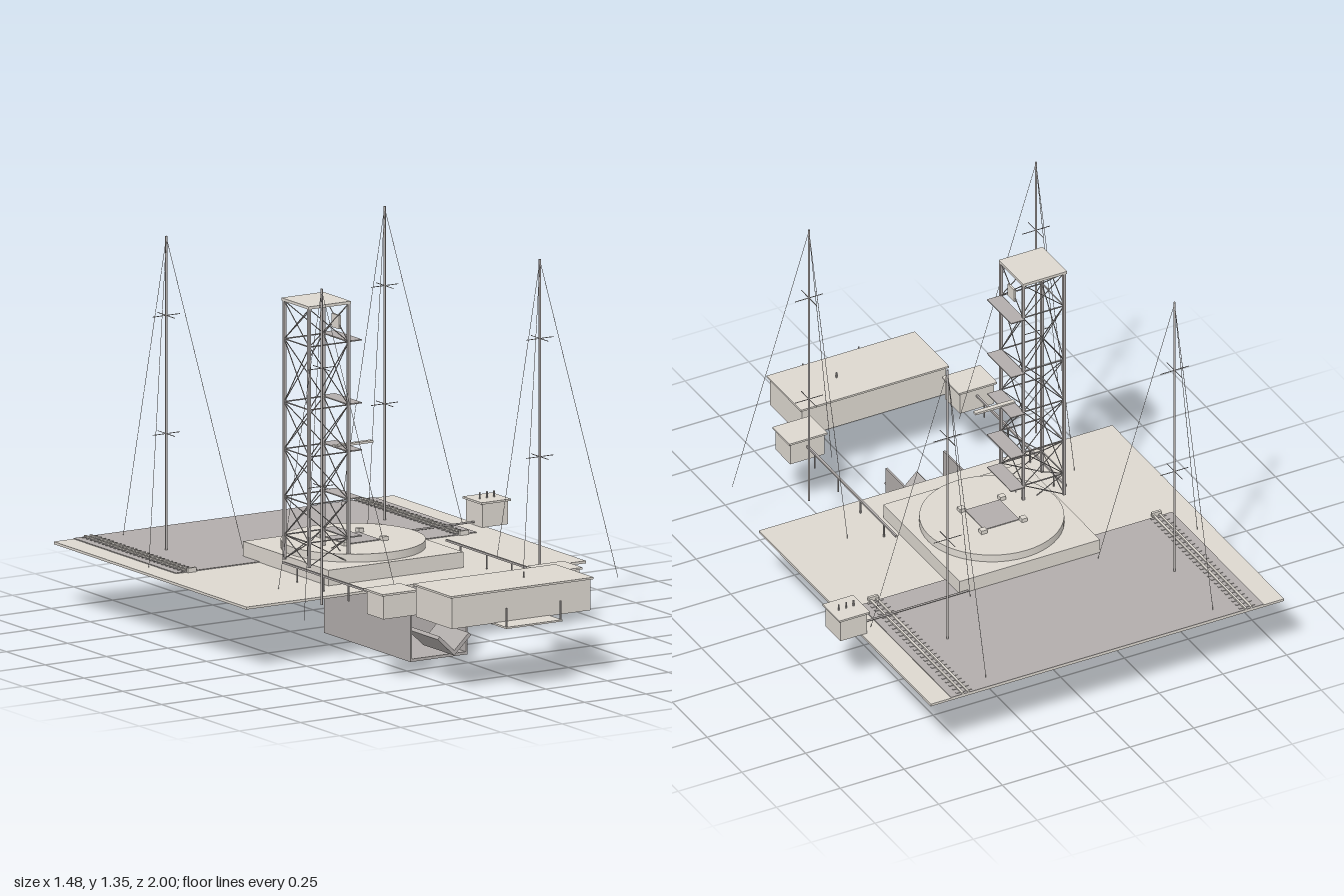
import * as THREE from 'three';

const flat = (name, color) => {
  const m = new THREE.MeshStandardMaterial({ color });
  m.name = name;
  return m;
};

export function createModel() {
  const root = new THREE.Group();
  root.name = 'launchPad';
  const concrete = flat('paleConcrete', 0xdcd7cf);
  const dark = flat('darkGrey', 0xb2adab);

  const group = (name, parent = root) => {
    const g = new THREE.Group();
    g.name = name;
    parent.add(g);
    return g;
  };
  // Box given by its extents on each axis
  const box = (name, x0, x1, y0, y1, z0, z1, mat, parent = root) => {
    const m = new THREE.Mesh(new THREE.BoxGeometry(x1 - x0, y1 - y0, z1 - z0), mat);
    m.position.set((x0 + x1) / 2, (y0 + y1) / 2, (z0 + z1) / 2);
    m.name = name;
    parent.add(m);
    return m;
  };
  // Round dark bar between two points
  const bar = (name, a, b, r, parent = root, sides = 12) => {
    const p = new THREE.Vector3(...a), q = new THREE.Vector3(...b);
    const d = q.clone().sub(p);
    const m = new THREE.Mesh(new THREE.CylinderGeometry(r, r, d.length(), sides), dark);
    m.position.copy(p).add(q).multiplyScalar(0.5);
    m.quaternion.setFromUnitVectors(new THREE.Vector3(0, 1, 0), d.normalize());
    m.name = name;
    parent.add(m);
    return m;
  };

  const G = 0.235; // ground level

  // Ground slab and rear apron
  box('groundSlab', -0.74, 0.645, 0.226, G, -1, 0.24, concrete);
  box('rearApron', -0.66, 0.565, G - 0.002, G + 0.003, -1, -0.34, dark);

  // Rail tracks with sleepers and end stops
  for (const x of [-0.602, 0.508]) {
    const track = group('railTrack');
    for (const s of [-1, 1])
      box('rail', x + s * 0.011 - 0.004, x + s * 0.011 + 0.004, 0.237, 0.243, -1, -0.335, concrete, track);
    for (let i = 0; i < 26; i++) {
      const z = -0.985 + i * 0.0255;
      box('sleeper', x - 0.03, x + 0.03, 0.237, 0.24, z - 0.004, z + 0.004, dark, track);
    }
    box('endStop', x - 0.018, x + 0.018, 0.236, 0.252, -0.336, -0.326, concrete, track);
  }

  // Raised pad with round deck
  box('padBlock', -0.32, 0.23, G - 0.002, 0.29, -0.445, 0.105, concrete);
  const deck = new THREE.Mesh(new THREE.CylinderGeometry(0.25, 0.25, 0.03, 48), concrete);
  deck.position.set(-0.045, 0.303, -0.17);
  deck.name = 'roundDeck';
  root.add(deck);

  // Launch mount with four hold-down pedestals
  const mount = group('launchMount');
  box('flameOpening', -0.115, 0.022, 0.316, 0.321, -0.24, -0.1, dark, mount);
  for (const x of [-0.125, 0.033])
    for (const z of [-0.25, -0.095])
      box('pedestal', x - 0.011, x + 0.011, 0.316, 0.332, z - 0.011, z + 0.011, concrete, mount);

  // Flame trench, open at its front and top
  const trench = group('flameTrench');
  box('trenchFloor', -0.163, 0.07, 0, 0.01, -0.17, 0.385, dark, trench);
  box('trenchWall', -0.163, -0.156, 0.01, 0.228, -0.17, 0.385, dark, trench);
  box('trenchWall', 0.063, 0.07, 0.01, 0.228, -0.17, 0.385, dark, trench);
  box('trenchBackWall', -0.156, 0.063, 0.01, 0.228, -0.17, -0.16, dark, trench);
  const vee = new THREE.Shape([
    [-0.115, 0.092], [-0.047, 0.028], [0.021, 0.092], [0.012, 0.102], [-0.047, 0.046], [-0.106, 0.102],
  ].map(([x, y]) => new THREE.Vector2(x, y)));
  const deflector = new THREE.Mesh(new THREE.ExtrudeGeometry(vee, { depth: 0.2, bevelEnabled: false }), dark);
  deflector.position.z = 0.285;
  deflector.name = 'flameDeflector';
  trench.add(deflector);

  // Lattice service tower
  const tower = group('serviceTower');
  const X = [-0.348, -0.188], Z = [-0.134, 0.026];
  const levels = [0.29, 0.375, 0.51, 0.678, 0.844, 1.066, 1.2];
  for (const x of X)
    for (const z of Z) box('towerLeg', x - 0.005, x + 0.005, 0.288, 1.202, z - 0.005, z + 0.005, dark, tower);
  const sides = [
    [X[0], Z[0], X[1], Z[0]], [X[0], Z[1], X[1], Z[1]],
    [X[0], Z[0], X[0], Z[1]], [X[1], Z[0], X[1], Z[1]],
  ];
  levels.slice(0, -1).forEach((y, i) => {
    const t = levels[i + 1];
    for (const [a, b, c, d] of sides) {
      if (i) bar('towerRing', [a, y, b], [c, y, d], 0.0025, tower, 6);
      bar('towerBrace', [a, y, b], [c, t, d], 0.0018, tower, 6);
      bar('towerBrace', [a, t, b], [c, y, d], 0.0018, tower, 6);
    }
    if (i) box('platform', -0.188, -0.133, y - 0.002, y + 0.002, -0.148, 0.025, dark, tower);
  });
  box('towerRoof', -0.355, -0.183, 1.2, 1.21, -0.142, 0.033, concrete, tower);
  box('accessArm', -0.19, -0.035, 0.677, 0.685, -0.073, -0.056, concrete, tower);
  box('hoistPanel', -0.191, -0.183, 1.1, 1.148, -0.078, -0.03, concrete, tower);

  // Four guyed lightning masts
  for (const x of [-0.49, 0.4])
    for (const z of [-0.67, 0.33]) {
      const mast = group('lightningMast');
      bar('mastPole', [x, G - 0.005, z], [x, 1.345, z], 0.004, mast);
      for (const y of [0.648, 1.065]) {
        bar('crossArm', [x - 0.055, y, z], [x + 0.055, y, z], 0.0014, mast, 6);
        bar('crossArm', [x, y, z - 0.055], [x, y, z + 0.055], 0.0014, mast, 6);
      }
      for (const [dx, dz] of [[0, -0.278], [-0.195, 0.195], [0.195, 0.195]])
        bar('guyWire', [x, 1.34, z], [x + dx, G, z + dz], 0.001, mast, 4);
    }

  // Small building: walls and an overhanging flat roof
  const building = (name, x0, x1, z0, z1, top) => {
    const g = group(name);
    box('walls', x0 + 0.008, x1 - 0.008, G, top - 0.007, z0 + 0.008, z1 - 0.008, concrete, g);
    box('roof', x0, x1, top - 0.007, top, z0, z1, concrete, g);
    return g;
  };

  // Control building with front terrace, roof aerial and hanging steps
  const control = building('controlBuilding', -0.338, 0.243, 0.677, 0.924, 0.352);
  box('terrace', -0.161, 0.067, 0.231, 0.237, 0.905, 1, concrete, control);
  for (const x of [-0.157, 0.063])
    bar('terracePost', [x, G, 0.995], [x, 0.304, 0.995], 0.003, control);
  bar('roofAerial', [0.037, 0.35, 0.8], [0.037, 0.372, 0.8], 0.003, control);
  for (let i = 0; i < 4; i++) {
    const z = 0.785 - i * 0.025;
    box('step', -0.088, -0.005, 0.2 + i * 0.009, 0.208 + i * 0.009, z - 0.013, z + 0.013, concrete, control);
  }

  // Twin huts with cable trays on posts running to the pad
  for (const [x0, x1, px] of [[-0.455, -0.305, -0.38], [0.21, 0.36, 0.285]]) {
    building('serviceHut', x0, x1, 0.545, 0.668, 0.325);
    const line = group('cableRun');
    box('cableTray', px - 0.004, px + 0.004, 0.285, 0.292, -0.09, 0.56, dark, line);
    for (const z of [0.5, 0.33, 0.17, 0.0])
      bar('trayPost', [px, G - 0.005, z], [px, 0.286, z], 0.003, line);
  }

  // Side store with vents and a feed pipe
  const store = building('sideStore', 0.618, 0.738, -0.512, -0.39, 0.325);
  for (const x of [0.649, 0.678, 0.707])
    bar('vent', [x, 0.32, -0.45], [x, 0.347, -0.45], 0.003, store);
  bar('feedPipe', [0.2, 0.246, -0.45], [0.63, 0.246, -0.45], 0.0035, store);

  return root;
}
